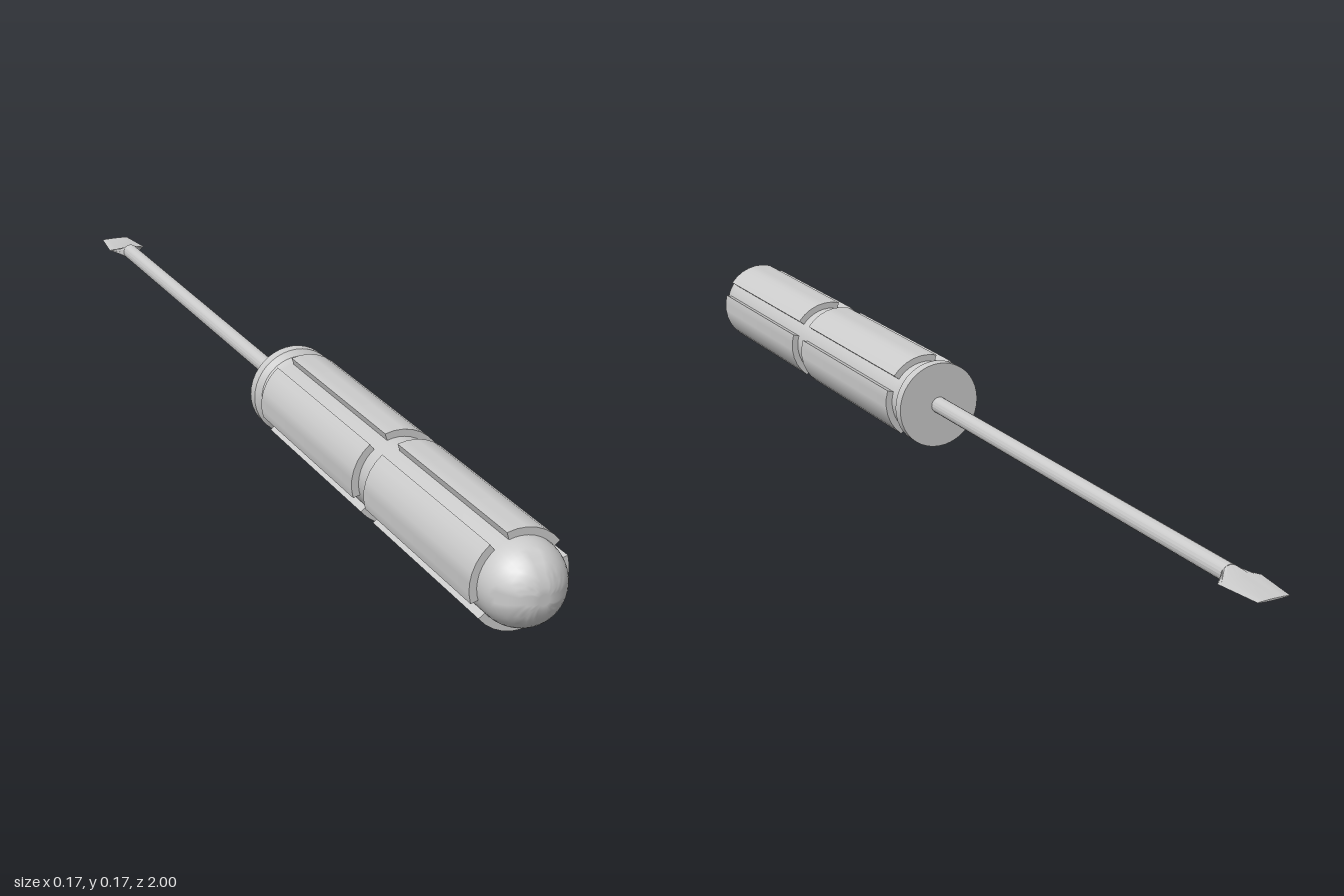
import * as THREE from 'three';
import { toCreasedNormals } from 'three/addons/utils/BufferGeometryUtils.js';

const AXIS_Y = 0.086;   // height of the tool's long axis
const CORE_R = 0.073;
const PAD_R = 0.086;
const SHAFT_R = 0.016;

export function createModel() {
  const group = new THREE.Group();
  const grey = new THREE.MeshStandardMaterial({ color: 0xcccccc });
  const add = (name, geometry, crease = 0.6) => {
    const mesh = new THREE.Mesh(toCreasedNormals(geometry, crease), grey);
    mesh.name = name;
    mesh.position.y = AXIS_Y;
    group.add(mesh);
  };

  // Handle core: flange, waisted neck, barrel and domed end, turned about z
  const profile = [[0, 0.055], [0.084, 0.055], [0.084, 0.075], [0.073, 0.083], [0.07, 0.095], [CORE_R, 0.11]]
    .map(([r, z]) => new THREE.Vector2(r, z));
  for (let i = 0; i <= 12; i++) {
    const a = (i / 12) * Math.PI / 2;
    profile.push(new THREE.Vector2(CORE_R * Math.cos(a), 0.925 + 0.075 * Math.sin(a)));
  }
  add('handleCore', new THREE.LatheGeometry(profile, 40).rotateX(Math.PI / 2));

  // Grip pads: four curved strips around the barrel, in two rows
  const rad = THREE.MathUtils.degToRad;
  const segments = 6;
  const padShape = (start, end) => {
    const ring = (r, t) => {
      const a = start + (end - start) * t;
      return new THREE.Vector2(r * Math.cos(a), r * Math.sin(a));
    };
    const points = [];
    for (let i = 0; i <= segments; i++) points.push(ring(PAD_R, i / segments));
    for (let i = segments; i >= 0; i--) points.push(ring(CORE_R - 0.003, i / segments));
    return new THREE.Shape(points);
  };
  for (const [row, z0, z1] of [['front', 0.555, 0.925], ['rear', 0.112, 0.508]]) {
    for (let i = 0; i < 4; i++) {
      const shape = padShape(rad(38 + 90 * i), rad(107 + 90 * i));
      const pad = new THREE.ExtrudeGeometry(shape, { depth: z1 - z0, bevelEnabled: false });
      add(`${row}GripPad${i + 1}`, pad.translate(0, 0, z0));
    }
  }

  // Shaft
  const shaft = new THREE.CylinderGeometry(SHAFT_R, SHAFT_R, 0.95, 20);
  add('shaft', shaft.rotateX(Math.PI / 2).translate(0, 0, -0.415));

  // Blade: the round shaft flares out into a thin flat tip
  const sections = [[SHAFT_R, SHAFT_R, -0.888], [0.041, 0.0015, -0.914], [0.03, 0.0015, -1]];
  const blade = new THREE.CylinderGeometry(1, 1, 2, 20, 2).rotateX(-Math.PI / 2);
  const pos = blade.attributes.position;
  for (let i = 0; i < pos.count; i++) {
    const [w, h, z] = sections[Math.round(1 - pos.getZ(i))];
    pos.setXYZ(i, pos.getX(i) * w, pos.getY(i) * h, z);
  }
  add('blade', blade);

  return group;
}
